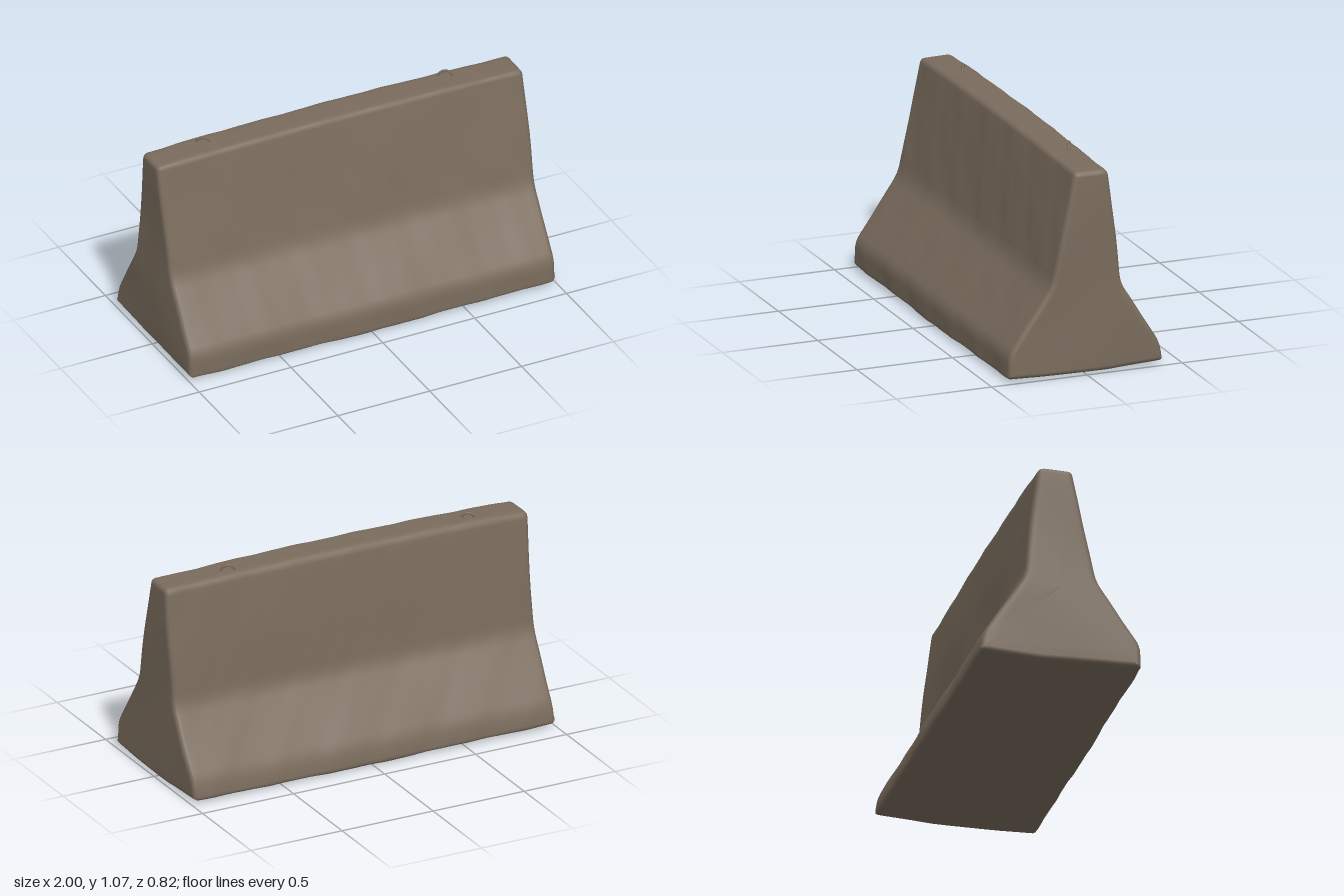
import * as THREE from 'three';

// Barrier cross-section as [z, y, corner radius], from the front foot over the top to the back foot
const PROFILE = [
  [0.405, 0.018, 0.015], [0.402, 0.14, 0.04], [0.178, 0.46, 0.05], [0.148, 0.6, 0.05],
  [0.058, 1.032, 0.025], [-0.116, 1.032, 0.035], [-0.157, 0.72, 0.06], [-0.182, 0.44, 0.05],
  [-0.392, 0.115, 0.05], [-0.406, 0.02, 0.02], [-0.12, 0.008, 0.02],
];

// Round the corners and subdivide the straight runs
function roundedLoop(corners, steps) {
  const v = corners.map(([z, y]) => new THREE.Vector2(z, y));
  const n = v.length;
  const toward = (a, b, d) => a.clone().add(b.clone().sub(a).setLength(d));
  const loop = [];
  for (let i = 0; i < n; i++) {
    const p = v[i], r = corners[i][2];
    const next = v[(i + 1) % n];
    const a = toward(p, v[(i + n - 1) % n], r), b = toward(p, next, r);
    loop.push(...new THREE.QuadraticBezierCurve(a, p, b).getPoints(4));
    const c = toward(next, p, corners[(i + 1) % n][2]);
    for (let k = 1; k < steps; k++) loop.push(b.clone().lerp(c, k / steps));
  }
  return loop;
}

// Gentle unevenness of worn concrete
function bump(x, y, z) {
  return 0.003 * Math.sin(5.1 * x + 3 * y + 1) * Math.cos(4.3 * y - 2 * x)
    + 0.002 * Math.sin(13 * x + 7 * z) * Math.sin(9 * y + 5 * x + 2)
    + 0.001 * Math.sin(29 * x + 17 * y) * Math.cos(23 * z + 11 * x);
}

function barrierGeometry() {
  const loop = roundedLoop(PROFILE, 6);
  const m = loop.length;
  const normals = loop.map((p, j) => {
    const t = loop[(j + 1) % m].clone().sub(loop[(j + m - 1) % m]);
    return new THREE.Vector2(t.y, -t.x).normalize();
  });

  // Stations along the length: flat end, rounded rim, straight body
  const r = 0.025;
  const end = [0.001, 0.3, 0.6, 0.85].map((scale) => ({ x: 0.995, inset: r, scale }));
  for (let k = 0; k <= 4; k++) {
    const a = (k / 4) * Math.PI / 2;
    end.push({ x: 0.995 - r + r * Math.cos(a), inset: r * (1 - Math.sin(a)), scale: 1 });
  }
  const stations = end.map((s) => ({ ...s, x: -s.x }));
  for (let k = 1; k < 60; k++) stations.push({ x: -0.97 + 1.94 * k / 60, inset: 0, scale: 1 });
  stations.push(...end.reverse());

  const positions = [], index = [];
  stations.forEach(({ x, inset, scale }, i) => {
    loop.forEach((p, j) => {
      const d = bump(x, p.y, p.x) - inset;
      let z = p.x + normals[j].x * d, y = p.y + normals[j].y * d;
      z *= scale;
      y = 0.4 + (y - 0.4) * scale;
      y += 0.014 * (1 - x * x) * THREE.MathUtils.smoothstep(y, 0.5, 1.03);
      y -= 0.006 * (1 - x * x) * (1 - THREE.MathUtils.smoothstep(y, 0, 0.1));
      const endBump = Math.abs(x) > 0.96 ? 0.004 * Math.sin(9 * y + 6 * z + x) * Math.sign(x) : 0;
      positions.push(x + endBump, Math.max(y, 0), z);
      if (i < stations.length - 1) {
        const a = i * m + j, d2 = i * m + (j + 1) % m;
        index.push(a, a + m, d2, d2, a + m, d2 + m);
      }
    });
  });
  const geometry = new THREE.BufferGeometry();
  geometry.setAttribute('position', new THREE.Float32BufferAttribute(positions, 3));
  geometry.setIndex(index);
  geometry.computeVertexNormals();
  return geometry;
}

// Bent rod standing on the top face
function loopGeometry() {
  const path = new THREE.CatmullRomCurve3([
    [-0.033, -0.03, -0.016], [-0.031, 0.008, -0.015], [-0.02, 0.026, -0.01], [0, 0.034, 0],
    [0.02, 0.024, 0.01], [0.03, 0.006, 0.015], [0.032, -0.03, 0.016],
  ].map((p) => new THREE.Vector3(...p)));
  return new THREE.TubeGeometry(path, 24, 0.006, 8);
}

export function createModel() {
  const model = new THREE.Group();
  model.name = 'concreteBarrier';
  const concrete = new THREE.MeshStandardMaterial({ color: 0x7a6c5d });
  concrete.name = 'weathered concrete';

  const body = new THREE.Mesh(barrierGeometry(), concrete);
  body.name = 'barrierBody';
  model.add(body);

  // Lifting loops
  const rod = loopGeometry();
  for (const [name, x, y, z] of [['rightLiftingLoop', -0.697, 1.029, -0.05], ['leftLiftingLoop', 0.627, 1.034, -0.06]]) {
    const loop = new THREE.Mesh(rod, concrete);
    loop.name = name;
    loop.position.set(x, y, z);
    model.add(loop);
  }
  return model;
}
